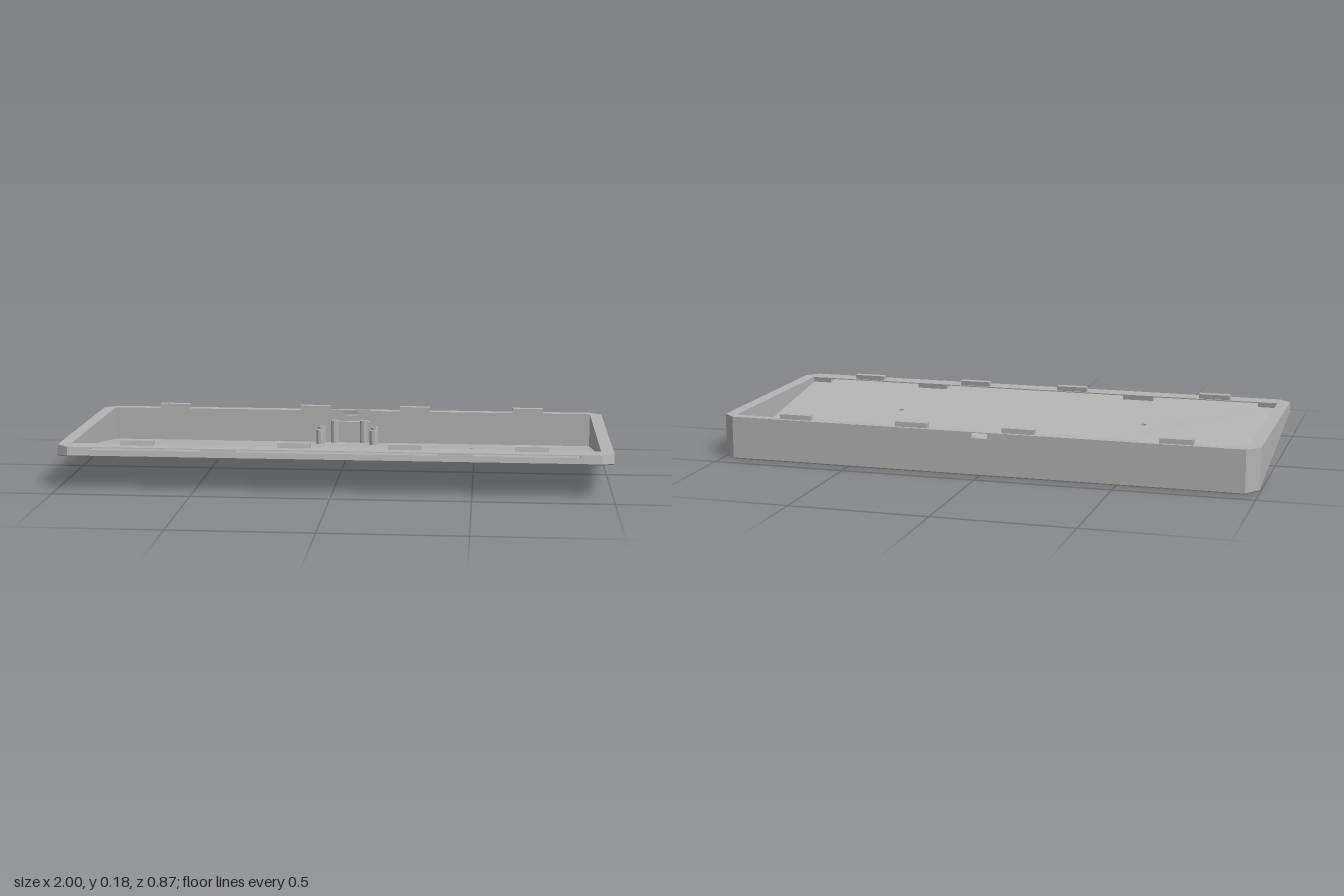
import * as THREE from 'three';
import { toCreasedNormals } from 'three/addons/utils/BufferGeometryUtils.js';

const TOP = 0.16, FLOOR = 0.025;
// height of the sloping underside at depth z, plus an offset
const above = (d) => (z) => 0.001 + 0.1425 * (z + 0.435) + d;
const level = (y) => () => y;

const circle = (x, z, r) => new THREE.Path().absarc(x, -z, r, 0, Math.PI * 2);
const outline = (pts) => new THREE.Shape(pts.map(([x, z]) => new THREE.Vector2(x, -z)));
const rect = (x0, x1, z0, z1) => [[x0, z0], [x1, z0], [x1, z1], [x0, z1]];

export function createModel() {
  const group = new THREE.Group();
  const grey = new THREE.MeshStandardMaterial({ color: 0xb4b4b4 });
  grey.name = 'grey plastic';

  // Plan shape raised between two height rules; the front leans back slightly
  function slab(name, pts, lo, hi, holes = [], inset = 0) {
    const shape = pts instanceof THREE.Shape ? pts : outline(pts);
    shape.holes.push(...holes);
    const geo = new THREE.ExtrudeGeometry(shape, { depth: 1, bevelEnabled: false, curveSegments: 12 });
    geo.rotateX(-Math.PI / 2);
    const p = geo.attributes.position;
    for (let i = 0; i < p.count; i++) {
      const bottom = p.getY(i) < 0.5;
      let x = p.getX(i), z = p.getZ(i);
      const y = bottom ? lo(z) : hi(z);
      if (z > 0.3) z -= 0.2 * (y - above(0)(z));
      if (bottom) { x *= 1 - inset; z *= 1 - 2 * inset; }
      p.setXYZ(i, x, y, z);
    }
    const mesh = new THREE.Mesh(toCreasedNormals(geo, 0.6), grey);
    mesh.name = name;
    group.add(mesh);
  }

  const plan = [[-0.955, -0.437], [0.955, -0.437], [1, -0.397], [1, 0.397],
    [0.955, 0.437], [-0.955, 0.437], [-1, 0.397], [-1, -0.397]];

  // Underside layers with the long octagonal recess and four foot pockets
  const pockets = () => [
    new THREE.Path(outline([[-0.53, -0.175], [0.53, -0.175], [0.61, -0.1], [0.61, 0.07],
      [0.53, 0.145], [-0.53, 0.145], [-0.61, 0.07], [-0.61, -0.1]]).getPoints()),
    ...[-0.88, 0.88].flatMap((x) => [-0.32, 0.33].map((z) => circle(x, z, 0.03))),
  ];
  slab('bevelledUnderside', plan, above(0), above(0.004), pockets(), 0.004);
  slab('lowerFloor', plan, above(0.004), above(0.014), pockets());

  // Tray floor with four screw holes
  const screws = [-0.485, 0.485].flatMap((x) => [-0.11, 0.1].map((z) => circle(x, z, 0.011)));
  slab('trayFloor', plan, above(0.014), above(FLOOR), screws);

  // Mirrored side walls that wrap around the corners
  for (const s of [-1, 1]) {
    slab(s < 0 ? 'rightWall' : 'leftWall', [
      [0.08, -0.437], [0.955, -0.437], [1, -0.397], [1, 0.397], [0.955, 0.437], [0.88, 0.437],
      [0.88, 0.365], [0.955, 0.365], [0.955, -0.4], [0.08, -0.4],
    ].map(([x, z]) => [x * s, z]), above(FLOOR), level(TOP));
  }

  // Front wall: rails above and below three long slots, with two pillars
  slab('frontLowerRail', rect(-0.88, 0.88, 0.365, 0.437), above(FLOOR),
    (z) => Math.max(0.139, above(FLOOR)(z)));
  slab('frontUpperRail', rect(-0.88, 0.88, 0.365, 0.437), level(0.156), level(TOP));
  for (const [a, b] of [[-0.47, -0.35], [0.38, 0.5]]) {
    slab('frontPillar', rect(a, b, 0.365, 0.437), above(FLOOR), level(0.156));
  }

  // Back wall centre: thinned pocket around a cable opening
  slab('portSill', rect(-0.08, 0.08, -0.437, -0.4), above(FLOOR), level(0.115));
  slab('portLowerWall', rect(-0.08, 0.08, -0.437, -0.42), level(0.115), level(0.138));
  for (const s of [-1, 1]) {
    slab('portSide', rect(s * 0.03, s * 0.08, -0.437, -0.42), level(0.138), level(0.157));
  }
  slab('portLintel', rect(-0.08, 0.08, -0.437, -0.42), level(0.157), level(TOP));

  // Locating tabs on the front and back rims
  for (const x of [-0.71, -0.14, 0.26, 0.71]) {
    slab('backTab', rect(x - 0.06, x + 0.06, -0.425, -0.4), level(TOP), level(0.178));
    slab('frontTab', rect(x - 0.06, x + 0.06, 0.372, 0.4), level(TOP), level(0.178));
  }

  // Hollow standoffs behind the port
  for (const [x, z, y] of [[0.105, -0.235, 0.112], [0.105, -0.31, 0.112], [0.058, -0.36, 0.128]]) {
    for (const s of [-1, 1]) {
      const ring = new THREE.Shape().absarc(s * x, -z, 0.015, 0, Math.PI * 2);
      slab('standoff', ring, above(FLOOR), level(y), [circle(s * x, z, 0.007)]);
    }
  }
  return group;
}
